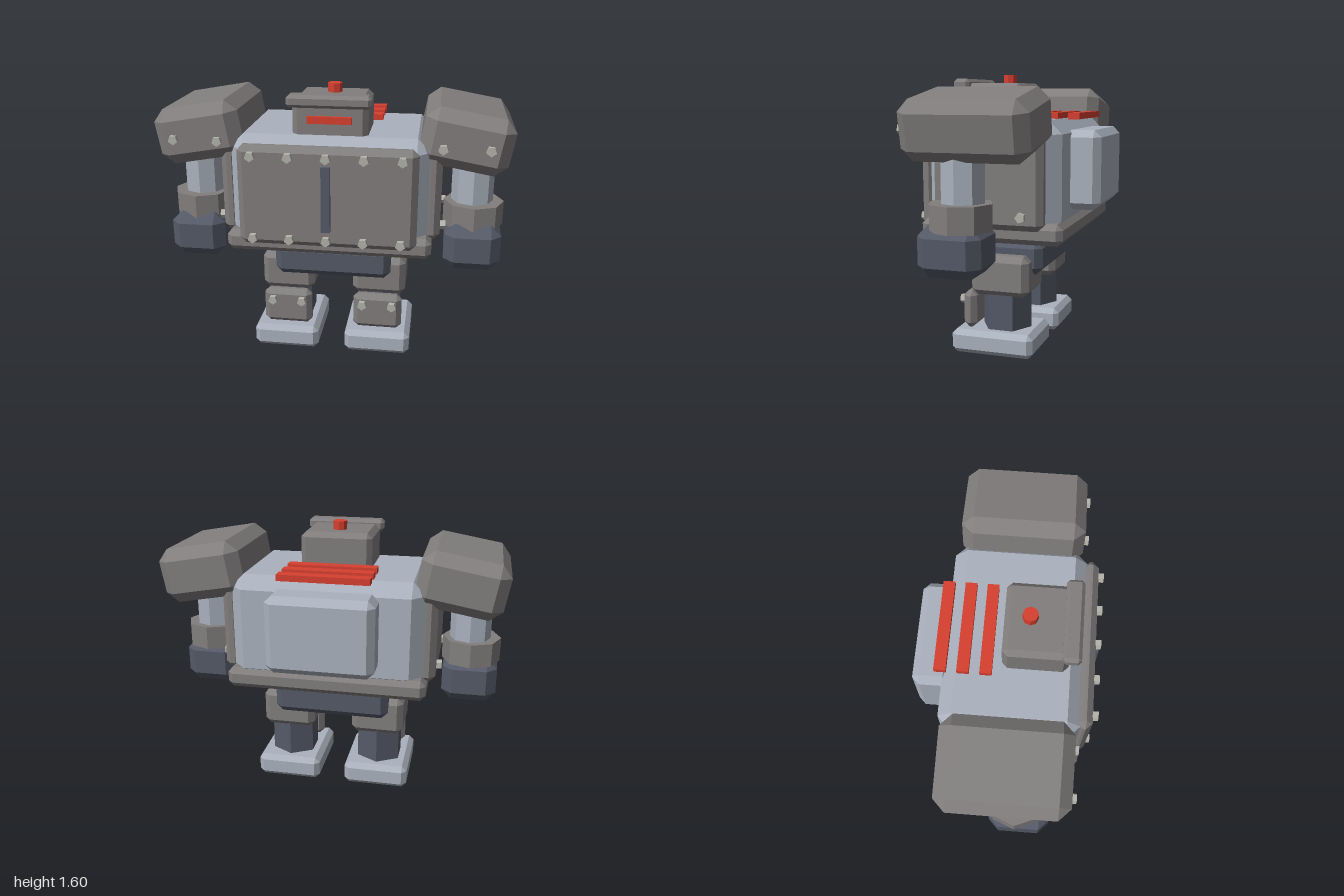
import * as THREE from 'three';
import { ConvexGeometry } from 'three/addons/geometries/ConvexGeometry.js';

const paint = (color) => new THREE.MeshStandardMaterial({ color, flatShading: true });

// Box given by its min and max on each axis, every edge and corner chamfered by b
function chamferBox(w, h, d, b) {
  const pts = [];
  for (const sx of [-1, 1]) for (const sy of [-1, 1]) for (const sz of [-1, 1]) {
    const x = w / 2, y = h / 2, z = d / 2;
    pts.push(
      new THREE.Vector3(sx * x, sy * (y - b), sz * (z - b)),
      new THREE.Vector3(sx * (x - b), sy * y, sz * (z - b)),
      new THREE.Vector3(sx * (x - b), sy * (y - b), sz * z));
  }
  return new ConvexGeometry(pts);
}

export function createModel() {
  const model = new THREE.Group();
  const grey = paint(0x827e7e), light = paint(0xaab2be), navy = paint(0x555a68);
  const red = paint(0xd84030), steel = paint(0xb4b4ac);

  const add = (name, geometry, material, x, y, z, parent = model) => {
    const mesh = new THREE.Mesh(geometry, material);
    mesh.name = name;
    mesh.position.set(x, y, z);
    parent.add(mesh);
    return mesh;
  };
  const block = (name, mat, [w, h, d], b, [x, y, z], parent) =>
    add(name, chamferBox(w, h, d, b), mat, x, y, z, parent);
  const bar = (name, mat, [w, h, d], [x, y, z]) =>
    add(name, new THREE.BoxGeometry(w, h, d), mat, x, y, z);
  const post = (name, mat, r, h, sides, [x, y, z], parent) =>
    add(name, new THREE.CylinderGeometry(r, r, h, sides), mat, x, y, z, parent);
  const frontBolt = (x, y, z, parent) => {
    post('bolt', steel, 0.028, 0.05, 5, [x, y, z - 0.025], parent).rotation.x = Math.PI / 2;
  };

  // Torso: core, skirt, front plate and backpack
  block('torsoCore', light, [1.11, 0.62, 0.76], 0.075, [0, 1.04, 0.035]);
  block('torsoSkirt', grey, [1.156, 0.12, 0.815], 0.032, [0, 0.745, 0.037]);
  block('frontPlate', grey, [0.99, 0.575, 0.085], 0.035, [0, 1.028, 0.435]);
  block('backpack', light, [0.61, 0.445, 0.21], 0.04, [0, 1.068, -0.405]);
  bar('frontSlit', navy, [0.05, 0.37, 0.04], [0, 1.03, 0.48]);
  for (const y of [0.79, 1.26])
    for (let i = -2; i <= 2; i++) frontBolt(i * 0.205, y, 0.507);

  // Red vents across the top of the back
  for (let i = 0; i < 3; i++)
    bar('vent', red, [0.52, 0.036, 0.065], [0, 1.366, -0.35 + i * 0.122]);

  // Head
  block('head', grey, [0.42, 0.25, 0.355], 0.03, [0, 1.425, 0.152]);
  block('brow', grey, [0.464, 0.07, 0.097], 0.018, [0, 1.54, 0.336]);
  bar('visor', red, [0.246, 0.04, 0.03], [0, 1.435, 0.333]);
  post('beacon', red, 0.042, 0.07, 8, [0, 1.565, 0.11]);

  // Pelvis
  block('pelvis', navy, [0.69, 0.193, 0.45], 0.04, [0, 0.559, 0.037]);

  for (const s of [-1, 1]) {
    const side = s > 0 ? 'left' : 'right';

    // Side plate with its bolts
    block(side + 'SidePlate', grey, [0.1, 0.54, 0.622], 0.035, [s * 0.57, 1.035, 0.036]);
    for (const z of [0.277, -0.162])
      post('bolt', steel, 0.028, 0.05, 5, [s * 0.625, 0.845, z]).rotation.z = -s * Math.PI / 2;

    // Arm
    const arm = new THREE.Group();
    arm.name = side + 'Arm';
    model.add(arm);
    block('shoulder', grey, [0.49, 0.317, 0.69], 0.065, [s * 0.742, 1.338, 0.036], arm)
      .rotation.z = -s * 0.175;
    for (const x of [0.617, 0.866]) frontBolt(s * x, 1.31, 0.408, arm);
    post('upperArm', light, 0.12, 0.45, 8, [s * 0.797, 1.05, 0.09], arm);
    post('cuff', grey, 0.172, 0.142, 8, [s * 0.807, 0.868, 0.1], arm);
    block('fist', navy, [0.322, 0.27, 0.35], 0.06, [s * 0.807, 0.697, 0.125], arm);

    // Leg
    const leg = new THREE.Group();
    leg.name = side + 'Leg';
    model.add(leg);
    block('thigh', grey, [0.315, 0.235, 0.345], 0.035, [s * 0.275, 0.461, 0.038], leg);
    post('shin', navy, 0.147, 0.26, 6, [s * 0.275, 0.24, 0.037], leg);
    block('shinPlate', grey, [0.29, 0.22, 0.08], 0.03, [s * 0.272, 0.25, 0.225], leg);
    for (const x of [0.183, 0.36]) frontBolt(s * x, 0.3, 0.292, leg);
    block('foot', light, [0.39, 0.14, 0.49], 0.03, [s * 0.275, 0.07, 0.075], leg);
  }
  return model;
}
